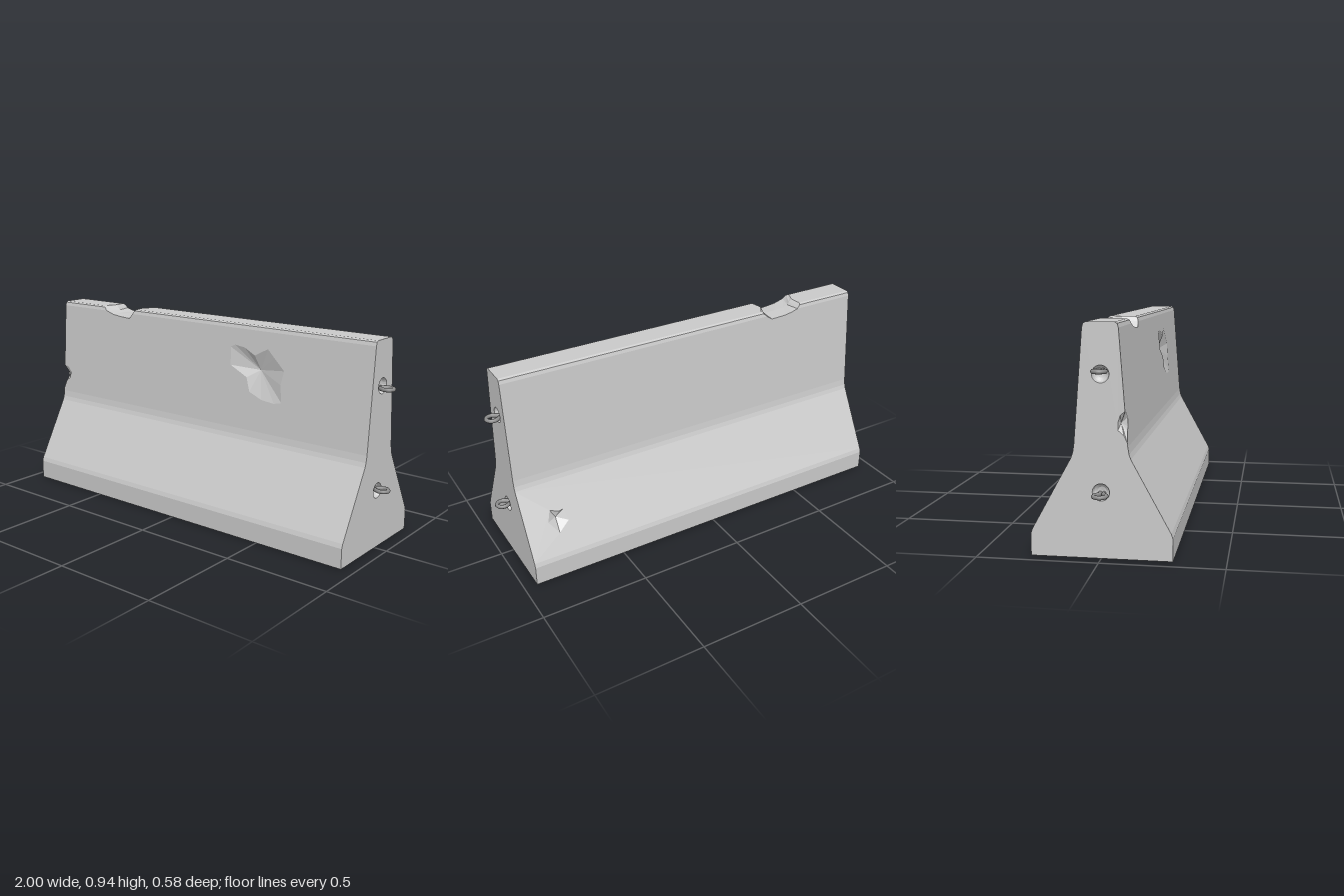
import * as THREE from 'three';

const L = 0.94; // half length
// half cross-section, bottom to top: [z, y]
const PROFILE = [[0.288, 0], [0.288, 0.092], [0.281, 0.112], [0.12, 0.405], [0.113, 0.425],
  [0.108, 0.455], [0.072, 0.92], [0.067, 0.936], [0.057, 0.942]];
const MAIN = 5; // strip index of the tall upper face
const TOP = 0.942;

function depthAt(y) {
  for (let i = 0; i < PROFILE.length - 1; i++) {
    const [z0, y0] = PROFILE[i], [z1, y1] = PROFILE[i + 1];
    if (y <= y1) return z0 + (z1 - z0) * (y - y0) / (y1 - y0);
  }
  return PROFILE[PROFILE.length - 1][0];
}

// collects flat triangles, each turned to face the given outward direction
class Surface {
  constructor() { this.positions = []; }
  tri(a, b, c, out) {
    const ab = b.clone().sub(a), ac = c.clone().sub(a);
    const pts = ab.cross(ac).dot(out) < 0 ? [a, c, b] : [a, b, c];
    pts.forEach(p => this.positions.push(p.x, p.y, p.z));
  }
  quad(a, b, c, d, out) { this.tri(a, b, c, out); this.tri(a, c, d, out); }
  fan(centre, loop, out, closed = true) {
    const n = loop.length;
    for (let i = 0; i < (closed ? n : n - 1); i++) this.tri(centre, loop[i], loop[(i + 1) % n], out);
  }
  panel(contour, holes, place, out) {
    const to2 = p => new THREE.Vector2(p[0], p[1]);
    const outer = contour.map(to2), inner = holes.map(h => h.map(to2));
    const all = [...contour, ...holes.flat()].map(place);
    THREE.ShapeUtils.triangulateShape(outer, inner).forEach(([a, b, c]) => this.tri(all[a], all[b], all[c], out));
  }
  mesh(name, material) {
    const g = new THREE.BufferGeometry();
    g.setAttribute('position', new THREE.Float32BufferAttribute(this.positions, 3));
    g.computeVertexNormals();
    const m = new THREE.Mesh(g, material);
    m.name = name;
    return m;
  }
}

const V = (x, y, z) => new THREE.Vector3(x, y, z);
const onSide = s => ([x, y]) => V(x, y, s * depthAt(y));

// broken notch in the top edge: front and back outlines [x, y]
const NOTCH = {
  1: [[-0.655, TOP], [-0.645, 0.936], [-0.63, 0.92], [-0.58, 0.905], [-0.53, 0.899], [-0.465, 0.895],
    [-0.445, 0.92], [-0.435, 0.936], [-0.43, TOP]],
  '-1': [[-0.635, TOP], [-0.63, 0.936], [-0.615, 0.92], [-0.58, 0.91], [-0.54, 0.903], [-0.46, 0.9],
    [-0.43, 0.92], [-0.415, 0.936], [-0.405, TOP]],
};
const NOTCH_MID = [[-0.63, TOP], [-0.615, 0.93], [-0.605, 0.917], [-0.58, 0.908], [-0.53, 0.905], [-0.465, 0.902],
  [-0.455, 0.915], [-0.45, 0.928], [-0.44, TOP]];

// spalled patches on the faces
const FRONT_DENT = [[0.19, 0.83], [0.215, 0.842], [0.27, 0.835], [0.33, 0.805], [0.40, 0.843], [0.44, 0.805],
  [0.495, 0.755], [0.48, 0.69], [0.49, 0.61], [0.45, 0.6], [0.38, 0.607], [0.31, 0.635], [0.29, 0.7], [0.195, 0.745]];
const BACK_DENT = [[0.735, 0.235], [0.79, 0.197], [0.83, 0.25], [0.81, 0.295], [0.77, 0.28], [0.745, 0.285]];
// chip on the right front corner: outline on the front face, then depths on the end face
const CHIP = [[-L, 0.595], [-0.912, 0.59], [-0.89, 0.565], [-0.896, 0.53], [-0.92, 0.515], [-0.932, 0.49], [-L, 0.47]];
const CHIP_END = [[0.50, 0.012], [0.52, 0.034], [0.555, 0.03], [0.58, 0.02]];

const SOCKET_Y = [0.27, 0.74], SOCKET_R = 0.035, SEG = 24;

function ring(y, r) {
  return Array.from({ length: SEG }, (_, i) => {
    const a = i / SEG * Math.PI * 2;
    return [r * Math.cos(a), y + r * Math.sin(a)];
  });
}

function buildBody(material) {
  const body = new Surface();
  const up = V(0, 1, 0);

  // long faces, strip by strip
  for (const s of [1, -1]) {
    const out = V(0, 0, s), place = onSide(s), notch = NOTCH[s];
    for (let j = 0; j < PROFILE.length - 1; j++) {
      const y0 = PROFILE[j][1], y1 = PROFILE[j + 1][1];
      if (j > MAIN) {
        const k = MAIN + 3 - j; // notch point at the strip's lower edge
        body.panel([[-L, y0], notch[k], notch[k - 1], [-L, y1]], [], place, out);
        body.panel([[L, y0], notch[8 - k], notch[9 - k], [L, y1]], [], place, out);
      } else if (j === MAIN) {
        body.panel([[-L, y0], [L, y0], [L, y1], ...notch.slice(2, 7).reverse(), [-L, y1], ...(s > 0 ? CHIP : [])],
          s > 0 ? [FRONT_DENT] : [], place, out);
      } else {
        body.panel([[-L, y0], [L, y0], [L, y1], [-L, y1]], s < 0 && j === 2 ? [BACK_DENT] : [], place, out);
      }
    }
  }

  // flat top on both sides of the notch, and the underside
  const zt = depthAt(TOP), zb = PROFILE[0][0];
  for (const [x, i] of [[-L, 0], [L, 8]]) {
    body.panel([[x, zt], [NOTCH[1][i][0], zt], [NOTCH_MID[i][0], 0], [NOTCH[-1][i][0], -zt], [x, -zt]],
      [], p => V(p[0], TOP, p[1]), up);
  }
  body.quad(V(-L, 0, zb), V(L, 0, zb), V(L, 0, -zb), V(-L, 0, -zb), V(0, -1, 0));

  // notch floor
  const rows = [NOTCH[1].map(onSide(1)), NOTCH_MID.map(([x, y]) => V(x, y, 0)), NOTCH[-1].map(onSide(-1))];
  for (let r = 0; r < 2; r++) for (let i = 0; i < 8; i++) {
    body.quad(rows[r][i], rows[r][i + 1], rows[r + 1][i + 1], rows[r + 1][i], up);
  }

  // dents and corner chip
  body.fan(V(0.345, 0.735, depthAt(0.735) - 0.035), FRONT_DENT.map(onSide(1)), V(0, 0, 1));
  body.fan(V(0.785, 0.25, -depthAt(0.25) + 0.025), BACK_DENT.map(onSide(-1)), V(0, 0.5, -1));
  const chipEnd = CHIP_END.map(([y, d]) => [depthAt(y) - d, y]);
  body.fan(V(-0.918, 0.547, depthAt(0.547) - 0.022),
    [...CHIP.map(onSide(1)), ...chipEnd.map(([z, y]) => V(-L, y, z))], V(-1, 0, 1));

  // end faces with rounded sockets
  for (const e of [1, -1]) {
    const out = V(e, 0, 0);
    let front = PROFILE;
    if (e < 0) {
      front = [...PROFILE.slice(0, MAIN + 1), [depthAt(0.47), 0.47], ...chipEnd,
        [depthAt(0.595), 0.595], ...PROFILE.slice(MAIN + 1)];
    }
    const back = PROFILE.map(([z, y]) => [-z, y]).reverse();
    body.panel([...front, ...back], SOCKET_Y.map(y => ring(y, SOCKET_R)), p => V(e * L, p[1], p[0]), out);
    for (const y of SOCKET_Y) {
      const rings = [[1, 0], [0.85, 0.016], [0.5, 0.027]].map(([f, d]) =>
        ring(y, SOCKET_R * f).map(p => V(e * (L - d), p[1], p[0])));
      for (let r = 0; r < 2; r++) for (let i = 0; i < SEG; i++) {
        const n = (i + 1) % SEG;
        body.quad(rings[r][i], rings[r][n], rings[r + 1][n], rings[r + 1][i], out);
      }
      body.fan(V(e * (L - 0.031), y, 0), rings[2], out);
    }
  }
  return body.mesh('concreteBody', material);
}

export function createModel() {
  const concrete = new THREE.MeshStandardMaterial({ color: 0xcacaca });
  concrete.name = 'concrete';
  const steel = new THREE.MeshStandardMaterial({ color: 0x8c8c8c });
  steel.name = 'steel';

  const model = new THREE.Group();
  model.name = 'roadBarrier';
  model.add(buildBody(concrete));

  // bent steel connecting loops, set at different heights on the two ends
  const half = [[-0.03, 0.008], [-0.01, 0.009], [0.004, 0.018], [0.02, 0.025], [0.04, 0.02]];
  const path = [...half, [0.051, 0], ...half.map(([x, z]) => [x, -z]).reverse()];
  const loopGeometry = new THREE.TubeGeometry(
    new THREE.CatmullRomCurve3(path.map(([x, z]) => V(x, 0, z))), 40, 0.009, 10);
  for (const [e, ys] of [[1, [0.277, 0.73]], [-1, [0.26, 0.753]]]) {
    for (const y of ys) {
      const loop = new THREE.Mesh(loopGeometry, steel);
      loop.name = e > 0 ? 'leftConnectingLoop' : 'rightConnectingLoop';
      loop.position.set(e * L, y, 0);
      if (e < 0) loop.rotation.y = Math.PI;
      model.add(loop);
    }
  }
  return model;
}
